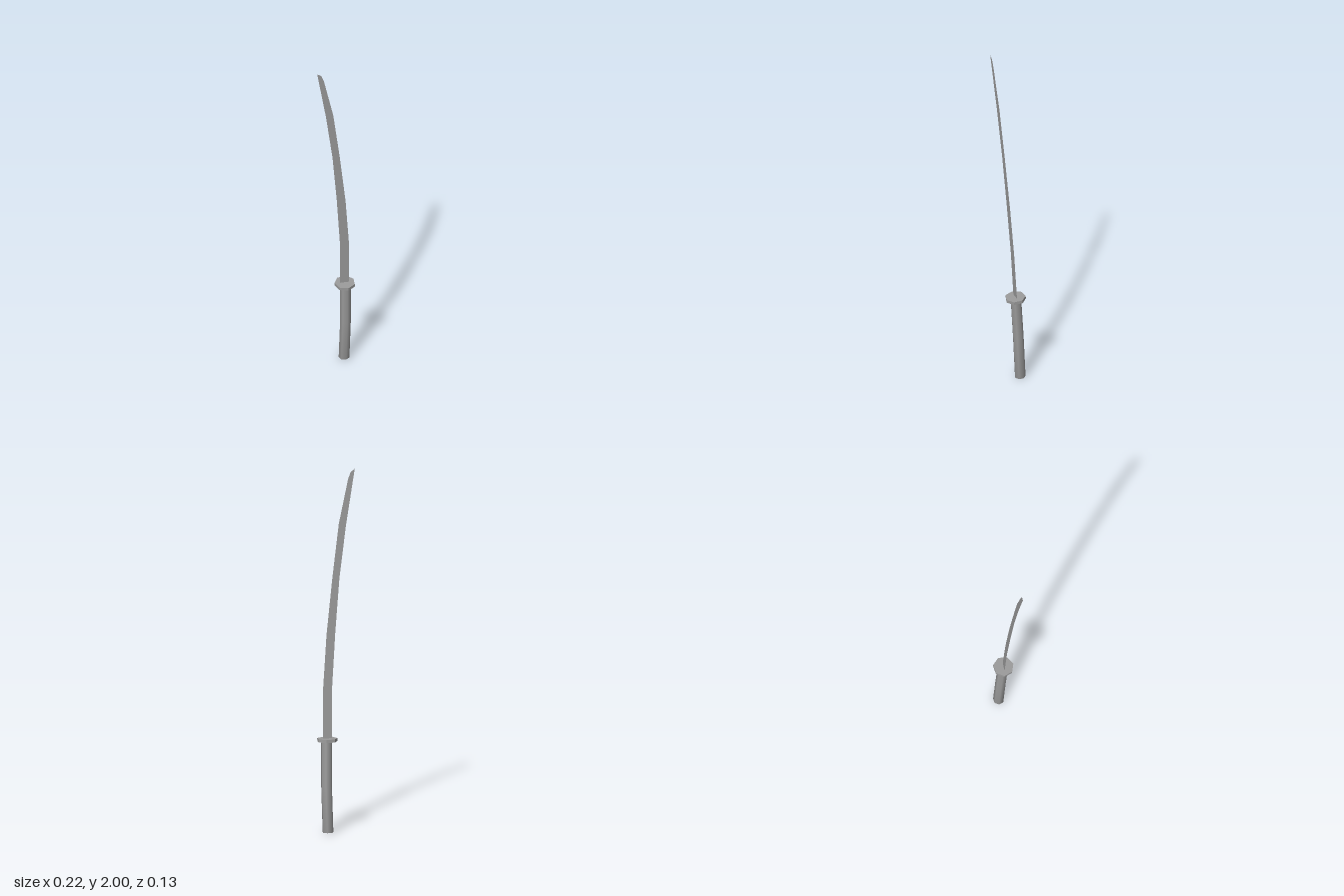
import * as THREE from 'three';

export function createModel() {
  const sword = new THREE.Group();
  sword.name = 'sword';
  const add = (name, geometry, flatShading) => {
    const mesh = new THREE.Mesh(geometry, new THREE.MeshStandardMaterial({
      color: 0x9b9b9b, flatShading, side: THREE.DoubleSide,
    }));
    mesh.name = name;
    sword.add(mesh);
    return mesh;
  };
  const SIDES = 7, TURN = 0.145;

  // Handle: seven-sided grip with a softly shaded closed end, bowed along its length
  const R = 0.03, LENGTH = 0.51;
  const profile = [[0, 0], [R, 0], [R, LENGTH / 2], [R, LENGTH]].map(([x, y]) => new THREE.Vector2(x, y));
  const grip = new THREE.LatheGeometry(profile, SIDES, TURN);
  const p = grip.attributes.position;
  for (let i = 0; i < p.count; i++) {
    const t = p.getY(i) / LENGTH;
    p.setX(i, p.getX(i) + 0.061 + 0.002 * t + 0.016 * t * (1 - t));
  }
  add('handle', grip, false).position.y = 0.005;

  // Guard: thin heptagonal plate
  const guard = add('guard', new THREE.CylinderGeometry(0.0565, 0.0565, 0.017, SIDES, 1, false, TURN), true);
  guard.position.set(0.059, 0.515, 0);

  // Blade: flat curved sheet with a slanted tip
  const outline = [
    [0.031, 0.515], [0.028, 0.80], [0.007, 1.10], [-0.02, 1.40], [-0.06, 1.69], [-0.113, 2.0],
    [-0.09, 1.984], [-0.075, 1.945], [-0.02, 1.70], [0.02, 1.40], [0.056, 1.09], [0.078, 0.80], [0.083, 0.515],
  ].map(([x, y]) => new THREE.Vector2(x, y * 1.0013));
  add('blade', new THREE.ShapeGeometry(new THREE.Shape(outline.reverse())), true);

  // The whole sword leans slightly forward
  sword.rotation.x = 0.052;
  sword.position.z = -0.038;
  const model = new THREE.Group();
  model.add(sword);
  return model;
}
